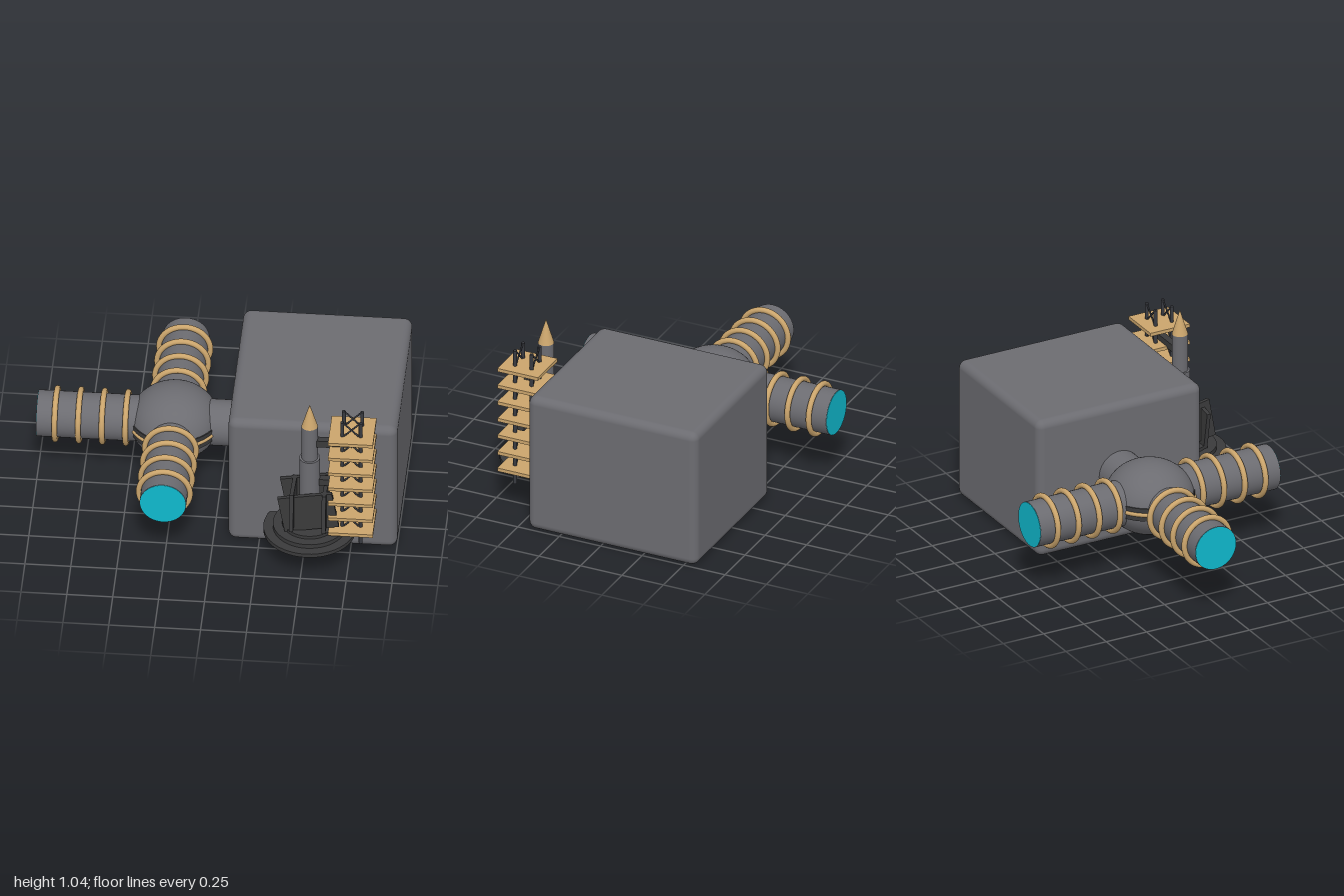
import * as THREE from 'three';
import { RoundedBoxGeometry } from 'three/addons/geometries/RoundedBoxGeometry.js';

const mat = (name, color) => Object.assign(new THREE.MeshStandardMaterial({ color }), { name });

export function createModel() {
  const model = new THREE.Group();
  const grey = mat('hull grey', 0x6c6c71);
  const gold = mat('tan gold', 0xcba56c);
  const dark = mat('pad dark grey', 0x3a3a3b);
  const steel = mat('tower steel', 0x383a40);
  const cyan = mat('window cyan', 0x0fb9cd);

  const add = (parent, name, geo, material, x = 0, y = 0, z = 0) => {
    const m = new THREE.Mesh(geo, material);
    m.name = name;
    m.position.set(x, y, z);
    parent.add(m);
    return m;
  };
  const group = (name, x, y, z) => {
    const g = new THREE.Group();
    g.name = name;
    g.position.set(x, y, z);
    model.add(g);
    return g;
  };
  const cyl = (r, h, n = 40) => new THREE.CylinderGeometry(r, r, h, n);
  const box = (w, h, d) => new THREE.BoxGeometry(w, h, d);

  // Large rounded hall
  add(model, 'mainHall', new RoundedBoxGeometry(0.92, 0.815, 1.02, 4, 0.045), grey, 0.54, 0.4125, -0.065);

  // Domed hub with a dark band and a trim ring
  const hub = group('hub', -0.255, 0.41, -0.07);
  add(hub, 'hubDome', new THREE.SphereGeometry(0.245, 48, 32), grey).scale.y = 0.205 / 0.245;
  add(hub, 'hubBand', cyl(0.247, 0.075, 48), dark);
  add(hub, 'hubTrim', new THREE.TorusGeometry(0.242, 0.013, 12, 64), gold).rotation.x = Math.PI / 2;

  // Short link from the hub to the hall
  add(hub, 'hallLink', cyl(0.127, 0.4), grey, 0.2, 0, 0).rotation.z = Math.PI / 2;

  // Three tunnels, each with rings and an end window; local +z points outward
  [['front', 0], ['side', -Math.PI / 2], ['back', Math.PI]].forEach(([side, turn]) => {
    const arm = group(side + 'Tunnel', -0.255, 0.41, -0.07);
    arm.rotation.y = turn;
    add(arm, 'tunnelTube', cyl(0.127, 0.743), grey, 0, 0, 0.3715).rotation.x = Math.PI / 2;
    for (let i = 0; i < 4; i++) {
      add(arm, 'tunnelRing', new THREE.TorusGeometry(0.14, 0.0155, 12, 48), gold, 0, 0, 0.258 + i * 0.1285);
    }
    add(arm, 'endWindow', cyl(0.125, 0.004), cyan, 0, 0, 0.743).rotation.x = Math.PI / 2;
  });

  // Stepped launch pad
  const pad = group('launchPad', 0.535, 0, 0.555);
  [[0.103, 0.16, 0.2], [0.252, 0.195, 0.218], [0.2, 0.218, 0.243], [0.15, 0.243, 0.262]].forEach(([r, y0, y1]) =>
    add(pad, 'padStep', cyl(r, y1 - y0, 48), dark, 0, (y0 + y1) / 2, 0));

  // Crossed, leaning support panels around the rocket
  for (const s of [-1, 1]) {
    add(pad, 'supportPanel', box(0.3, 0.225, 0.022), dark, 0, 0.383, s * 0.088).rotation.z = 0.175;
    add(pad, 'supportPanel', box(0.022, 0.225, 0.3), dark, s * 0.088, 0.383, 0).rotation.x = -0.175;
  }

  // Rocket
  const rocket = group('rocket', 0.535, 0, 0.555);
  add(rocket, 'lowerStage', cyl(0.056, 0.44), grey, 0, 0.47, 0);
  add(rocket, 'upperStage', cyl(0.044, 0.215), grey, 0, 0.7975, 0);
  add(rocket, 'noseCone', new THREE.ConeGeometry(0.044, 0.145, 40), gold, 0, 0.9775, 0);

  // Service tower: posts, decks and cross braces
  const tower = group('serviceTower', 0.767, 0.16, 0.555);
  const step = 0.1025, half = 0.05;
  for (const x of [-half, half]) {
    for (const z of [-half, half]) add(tower, 'towerPost', cyl(0.0105, 8 * step, 12), steel, x, 4 * step, z);
  }
  for (let i = 1; i < 8; i++) {
    add(tower, 'towerDeck', box(0.244, 0.02, 0.244), gold, 0, i * step, 0);
    for (const z of [-half, half]) {
      for (const s of [-1, 1]) {
        add(tower, 'towerBrace', cyl(0.005, 0.137, 8), steel, 0, (i + 0.5) * step, z).rotation.z = s * 0.775;
      }
    }
  }

  // Arms reaching from the tower to the rocket
  add(tower, 'upperArm', box(0.2, 0.042, 0.04), dark, -0.1, 0.637, 0);
  add(tower, 'lowerArm', box(0.27, 0.04, 0.04), dark, -0.05, 0.375, 0);

  return model;
}
